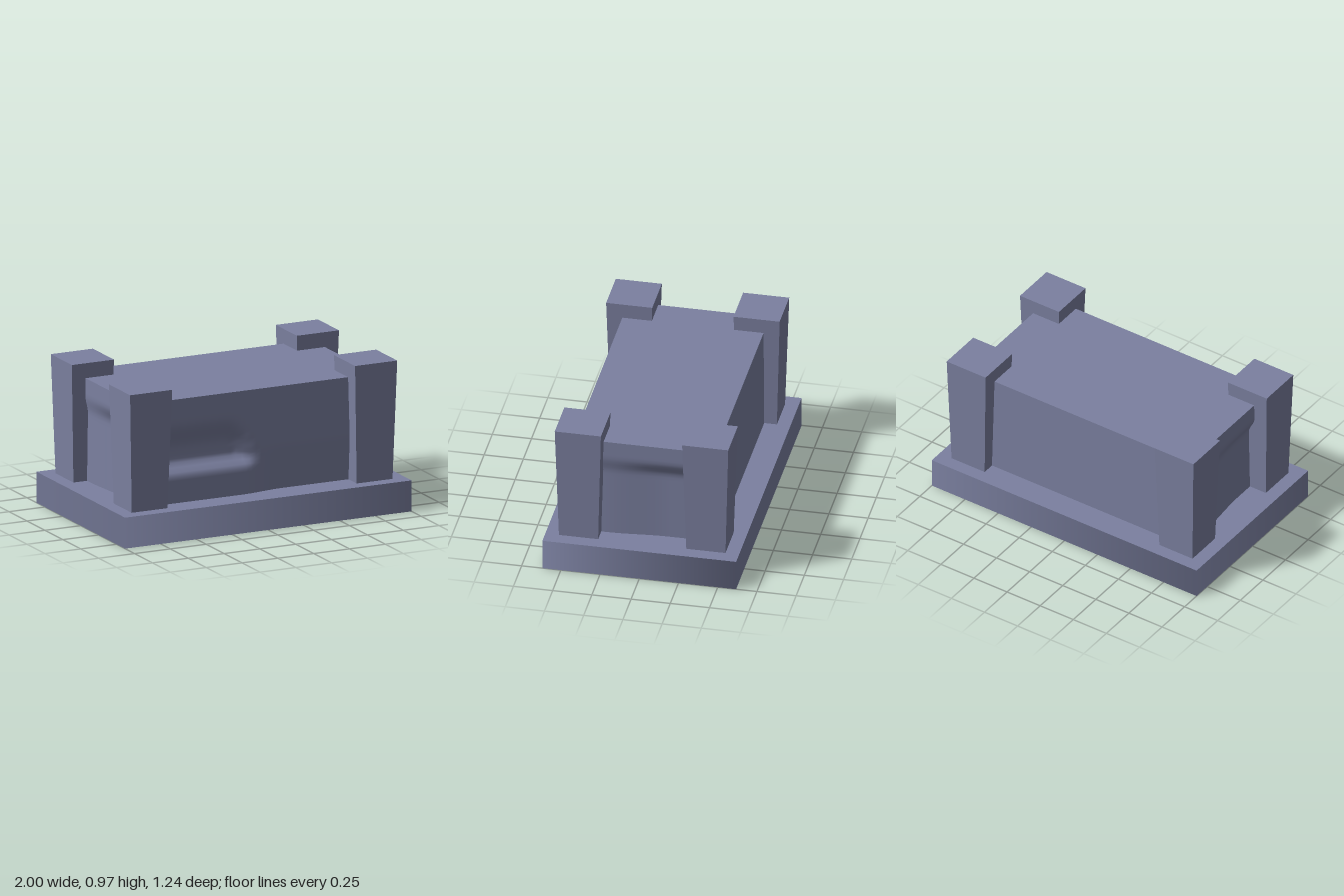
import * as THREE from 'three';

const smooth = THREE.MathUtils.smoothstep;

// Square prism, unit wide at the bottom, with an optional flare to the top
function squarePrism(topWidth, height) {
  const r = Math.SQRT1_2;
  const g = new THREE.CylinderGeometry(r * topWidth, r, height, 4);
  return g.rotateY(Math.PI / 4).translate(0, height / 2, 0);
}

// Stone block with shallow worn hollows in the front and both ends
function tombBody() {
  const g = new THREE.BoxGeometry(1.67, 0.67, 0.9, 48, 28, 24).translate(0, 0.535, 0);
  const p = g.attributes.position;
  const n = g.attributes.normal;
  for (let i = 0; i < p.count; i++) {
    const x = p.getX(i), y = p.getY(i), z = p.getZ(i);
    if (n.getZ(i) > 0.5) {
      // Hollow on one half of the front, slanting toward the middle
      const edge = -0.12 + (0.68 - y) * 0.53;
      const band = smooth(y, 0.37, 0.45) * (1 - smooth(y, 0.52, 0.72));
      const hollow = 0.08 * band * (1 - smooth(x, edge - 0.1, edge));
      // Lower part of the other half leans inward
      const lean = 0.12 * Math.max(0, 0.48 - y) * smooth(x, -0.1, 0.2);
      p.setZ(i, z - hollow - lean);
    } else if (Math.abs(n.getX(i)) > 0.5) {
      const band = 1 - smooth(y, 0.64, 0.76);
      const depth = 0.02 + 0.025 * (1 - smooth(z * Math.sign(x), -0.15, 0.25));
      p.setX(i, x - Math.sign(x) * band * depth);
    }
  }
  g.computeVertexNormals();
  return g;
}

export function createModel() {
  const group = new THREE.Group();
  const stone = new THREE.MeshStandardMaterial({ color: 0x7b80a0 });
  stone.name = 'blue grey stone';
  const add = (name, geometry) => {
    const mesh = new THREE.Mesh(geometry, stone);
    mesh.name = name;
    group.add(mesh);
    return mesh;
  };

  // Base slab, its sides softly shaded around the corners
  const slab = squarePrism(1, 0.2);
  const p = slab.attributes.position;
  for (let i = 0; i < p.count; i++) p.setXYZ(i, p.getX(i) * 2, p.getY(i), p.getZ(i) * 1.235);
  add('baseSlab', slab);

  add('tombBody', tombBody());

  // Four flared corner posts
  const post = squarePrism(0.294 / 0.25, 0.767).scale(0.25, 1, 0.25).toNonIndexed();
  post.computeVertexNormals();
  for (const sx of [-1, 1]) {
    for (const sz of [-1, 1]) {
      const name = (sz > 0 ? 'front' : 'back') + (sx > 0 ? 'Left' : 'Right') + 'Post';
      add(name, post).position.set(sx * 0.785, 0.2, sz * 0.406);
    }
  }
  return group;
}
